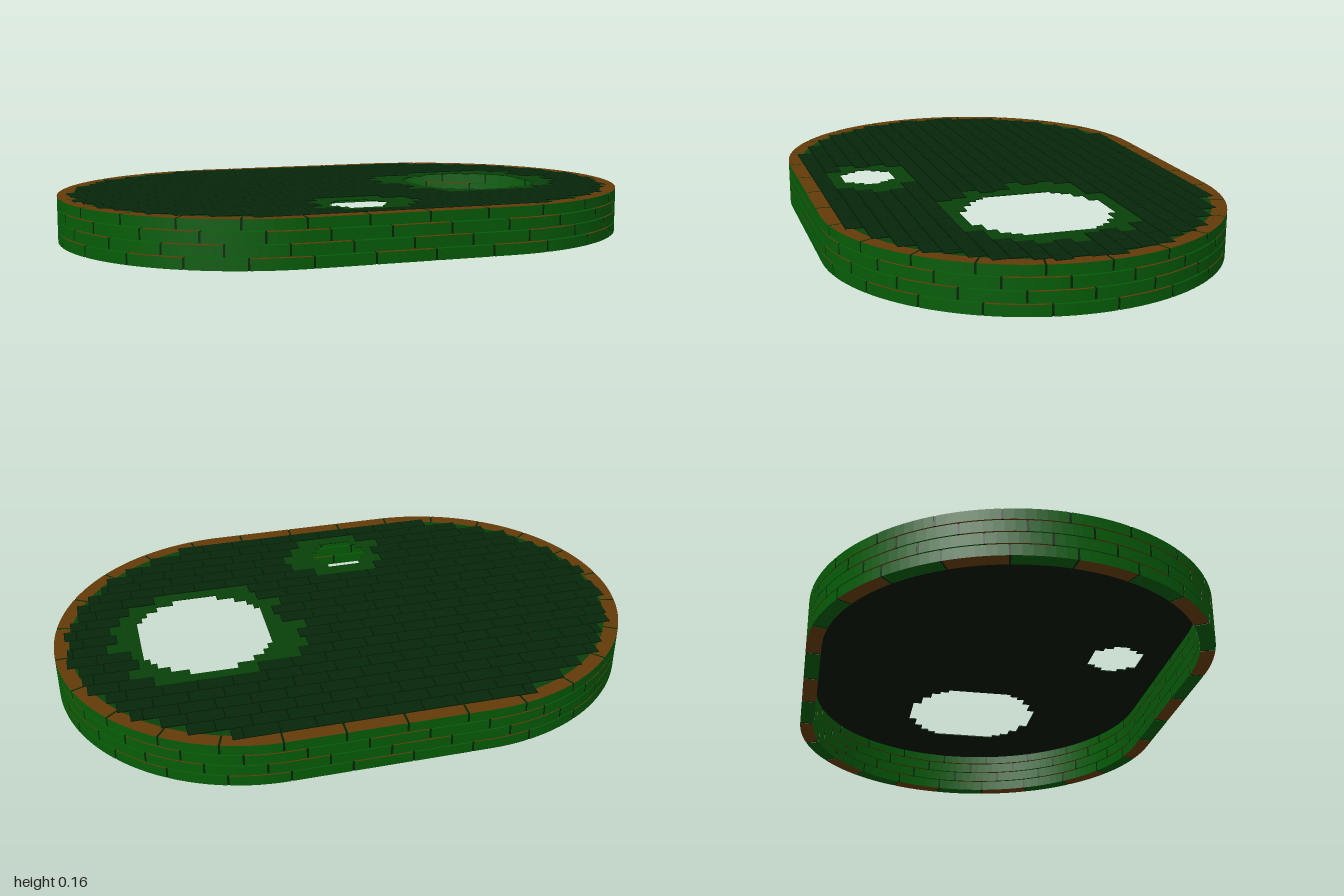
import * as THREE from 'three';
import { mergeGeometries } from 'three/addons/utils/BufferGeometryUtils.js';

const mat = (color) => new THREE.MeshStandardMaterial({ color });
const HALF = 0.33, R = 0.67; // rounded outline: straight half length and end radius
const ARC = Math.PI * R, LOOP = 4 * HALF + 2 * ARC;

// point on the outline at distance s, moved inwards by inset
function outline(s, inset) {
  s = ((s % LOOP) + LOOP) % LOOP;
  const r = R - inset, half = LOOP / 2;
  const sign = s < half ? 1 : -1;
  if (s >= half) s -= half;
  if (s < 2 * HALF) return new THREE.Vector2(sign * (s - HALF), -sign * r);
  const a = -Math.PI / 2 + (s - 2 * HALF) / R;
  return new THREE.Vector2(sign * (HALF + r * Math.cos(a)), sign * r * Math.sin(a));
}

// slab lying flat from height y, thickness h
function slab(shape, y, h) {
  return new THREE.ExtrudeGeometry(shape, { depth: h, bevelEnabled: false })
    .rotateX(-Math.PI / 2).translate(0, y, 0);
}

// bent block that follows the outline from s0 to s1
function bentBlock(s0, s1, inset, depth, y, h, steps) {
  const outer = [], inner = [];
  for (let i = 0; i <= steps; i++) {
    const s = s0 + (s1 - s0) * i / steps;
    outer.push(outline(s, inset));
    inner.unshift(outline(s, inset + depth));
  }
  return slab(new THREE.Shape([...outer, ...inner]), y, h);
}

// stepped round opening made of rows
function steppedHole(cx, cz, r, maxHalf) {
  const step = 0.03, n = Math.round(2 * r / step), left = [], right = [];
  for (let i = 0; i < n; i++) {
    const z0 = (i - n / 2) * step, zm = z0 + step / 2;
    const w = Math.min(maxHalf, Math.sqrt(Math.max(0.001, r * r - zm * zm)));
    const half = Math.max(step, Math.round(w / 0.02) * 0.02);
    for (const z of [z0, z0 + step]) {
      right.push(new THREE.Vector2(cx + half, -cz + z));
      left.unshift(new THREE.Vector2(cx - half, -cz + z));
    }
  }
  return new THREE.Path([...right, ...left]);
}

export function createModel() {
  const model = new THREE.Group();
  const green = mat(0x065c08), brown = mat(0x633a08), joint = mat(0x062206);
  const floorGreen = mat(0x084008), deckGreen = mat(0x06260a), deckJoint = mat(0x031603);

  // wall: four courses of bent bricks in running bond
  const COUNT = 28, LEN = LOOP / COUNT, GAP = 0.007;
  const wall = new THREE.Group();
  wall.name = 'brickWall';
  for (let c = 0; c < 4; c++) {
    const y = c * 0.04, h = c === 3 ? 0.035 : 0.0365;
    const joints = [];
    for (let i = 0; i < COUNT; i++) {
      const s = (i + (c % 2) * 0.5 + c * 0.13) * LEN;
      const cap = c === 3 || i % 2 ? brown : green;
      const brick = new THREE.Mesh(bentBlock(s + GAP, s + LEN, 0, 0.05, y, h, 6), [cap, green]);
      brick.name = 'brick';
      wall.add(brick);
      joints.push(bentBlock(s, s + GAP, 0.001, 0.048, y + 0.001, h - 0.002, 1));
    }
    const mortar = new THREE.Mesh(mergeGeometries(joints), joint);
    mortar.name = 'brickJoints';
    wall.add(mortar);
  }
  model.add(wall);

  // thin floor with the two stepped openings, dark underneath
  const edge = [];
  for (let i = 0; i < 96; i++) edge.push(outline(i * LOOP / 96, 0.049));
  const floorShape = new THREE.Shape(edge);
  floorShape.holes.push(steppedHole(0.49, 0, 0.24, 0.22), steppedHole(-0.1, 0.43, 0.095, 0.1));
  const floor = new THREE.Mesh(slab(floorShape, 0.151, 0.003), floorGreen);
  floor.name = 'floor';
  const underside = new THREE.Mesh(slab(floorShape, 0.15, 0.001), deckJoint);
  underside.name = 'floorUnderside';
  model.add(floor, underside);

  // upper deck: rows of short boards that stay clear of the openings
  const clear = [[0.49, 0, 0.262], [-0.1, 0.43, 0.118]];
  const ROWS = 22, DEPTH = 1.24 / ROWS, BOARD = 0.115, RIM = 0.642;
  const bases = [], tops = [];
  const box = (x0, x1, z, d, y0, y1) => new THREE.BoxGeometry(x1 - x0, y1 - y0, d)
    .translate((x0 + x1) / 2, (y0 + y1) / 2, z);
  for (let r = 0; r < ROWS; r++) {
    const z = (r + 0.5 - ROWS / 2) * DEPTH;
    const far = Math.abs(z) + DEPTH / 2;
    const end = HALF + Math.sqrt(RIM * RIM - far * far) - (r % 3) * 0.012;
    const shift = (r % 2) * 0.5 + (r % 3) * 0.17;
    for (let k = -12; k < 12; k++) {
      const x0 = Math.max(-end, (k + shift) * BOARD);
      const x1 = Math.min(end, (k + 1 + shift) * BOARD);
      if (x1 - x0 < 0.015) continue;
      const blocked = clear.some(([cx, cz, cr]) => {
        const dx = cx - THREE.MathUtils.clamp(cx, x0, x1);
        const dz = cz - THREE.MathUtils.clamp(cz, z - DEPTH / 2, z + DEPTH / 2);
        return Math.hypot(dx, dz) < cr;
      });
      if (blocked) continue;
      bases.push(box(x0, x1, z, DEPTH, 0.153, 0.156));
      tops.push(box(x0 + 0.002, x1 - 0.002, z, DEPTH - 0.005, 0.155, 0.157));
    }
  }
  const deckBase = new THREE.Mesh(mergeGeometries(bases), deckJoint);
  deckBase.name = 'deckJoints';
  const deckBoards = new THREE.Mesh(mergeGeometries(tops), deckGreen);
  deckBoards.name = 'deckBoards';
  model.add(deckBase, deckBoards);
  return model;
}
